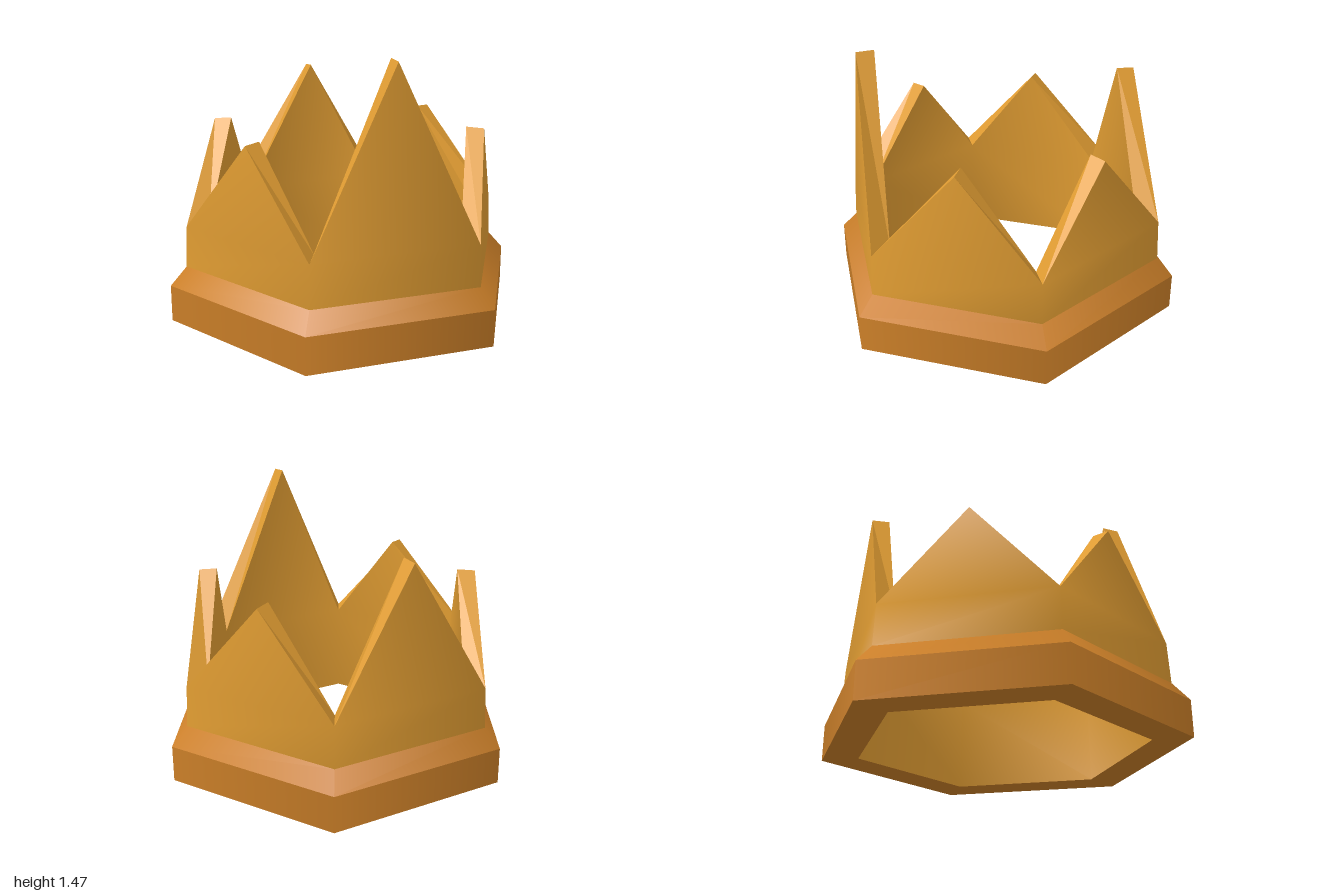
import * as THREE from 'three';

const SIDES = 6;
const VALLEY = 0.525;
// Spike heights by side, starting at the front and turning towards +x
const TIPS = [1.465, 1.03, 1.03, 1.26, 1.03, 1.03];

function polar(radius, y, turn) {
  const a = turn * Math.PI * 2 / SIDES;
  return [Math.sin(a) * radius, y, Math.cos(a) * radius];
}

function buildGeometry(points, index) {
  const geometry = new THREE.BufferGeometry();
  geometry.setAttribute('position', new THREE.Float32BufferAttribute(points.flat(), 3));
  if (index) geometry.setIndex(index);
  geometry.computeVertexNormals();
  return geometry;
}

// Six pentagonal panels sharing their corners, so the wall shades smoothly
function wallGeometry(bottomY, bottomRadius, topRadius, tipRadius, tipLift, inward) {
  const points = [], index = [];
  for (let i = 0; i < SIDES; i++) {
    points.push(
      polar(bottomRadius, bottomY, i - 0.5),
      polar(topRadius, VALLEY, i - 0.5),
      polar(tipRadius, TIPS[i] + tipLift, i)
    );
  }
  for (let i = 0; i < SIDES; i++) {
    const a = i * 3, b = ((i + 1) % SIDES) * 3;
    const faces = [[a, b, b + 1], [a, b + 1, a + 1], [a + 1, b + 1, a + 2]];
    for (const [p, q, r] of faces) index.push(...(inward ? [p, r, q] : [p, q, r]));
  }
  return buildGeometry(points, index);
}

// Sloping flat edges of the spikes, joining the outer and inner walls
function rimGeometry() {
  const points = [];
  for (let i = 0; i < SIDES; i++) {
    const profile = [
      [polar(0.90, VALLEY, i - 0.5), polar(0.78, VALLEY, i - 0.5)],
      [polar(0.756, TIPS[i], i), polar(0.66, TIPS[i] + 0.006, i)],
      [polar(0.90, VALLEY, i + 0.5), polar(0.78, VALLEY, i + 0.5)]
    ];
    for (let k = 0; k < 2; k++) {
      const [outA, inA] = profile[k], [outB, inB] = profile[k + 1];
      points.push(outA, outB, inB, outA, inB, inA);
    }
  }
  return buildGeometry(points);
}

export function createModel() {
  const crown = new THREE.Group();
  crown.name = 'crown';

  const gold = new THREE.MeshStandardMaterial({ color: 0xe09c32 });
  gold.name = 'gold';
  const copper = new THREE.MeshStandardMaterial({ color: 0xcb7f28 });
  copper.name = 'copper';

  function add(name, geometry, material) {
    const mesh = new THREE.Mesh(geometry, material);
    mesh.name = name;
    crown.add(mesh);
    return mesh;
  }

  // Spiked wall
  add('outerWall', wallGeometry(0.3, 0.91, 0.90, 0.756, 0, false), gold);
  add('innerWall', wallGeometry(0, 0.79, 0.78, 0.66, 0.006, true), gold);
  add('spikeEdges', rimGeometry(), gold);

  // Hexagonal base band with a bevelled top
  const start = Math.PI / 2;
  const band = new THREE.CylinderGeometry(1, 1, 0.2, SIDES, 1, true, start);
  add('baseBand', band.translate(0, 0.1, 0), copper);
  const bevel = new THREE.CylinderGeometry(0.91, 1, 0.1, SIDES, 1, true, start);
  add('baseBevel', bevel.translate(0, 0.25, 0), copper);
  const underside = new THREE.RingGeometry(0.79, 1, SIDES, 1);
  add('baseUnderside', underside.rotateX(Math.PI / 2), copper);

  return crown;
}
